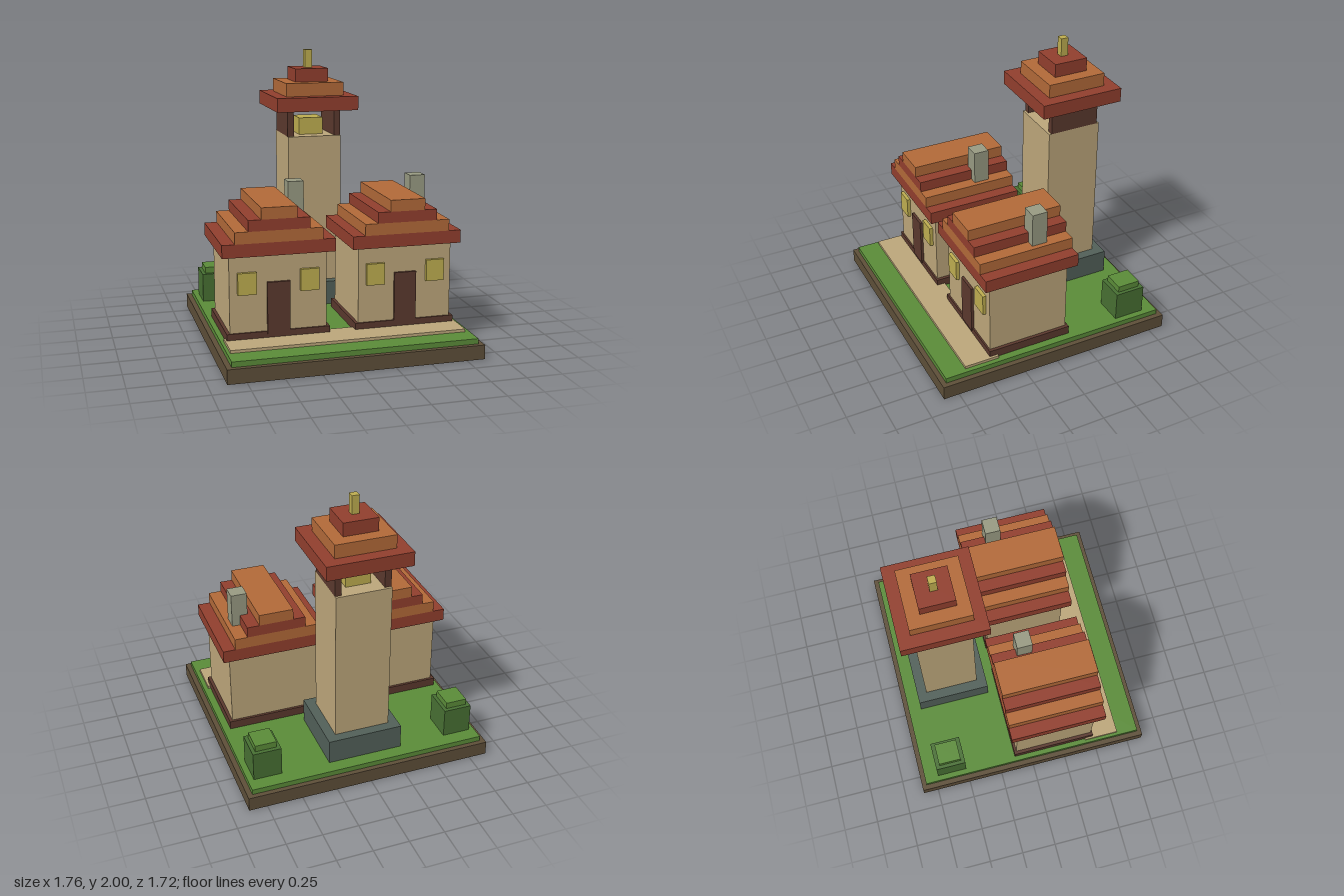
import * as THREE from 'three';

function mat(name, color) {
  const m = new THREE.MeshStandardMaterial({ color });
  m.name = name;
  return m;
}

export function createModel() {
  const earth = mat('earth brown', 0x5e4f39);
  const grass = mat('grass green', 0x5b8c39);
  const leaf = mat('leaf green', 0x487033);
  const plaster = mat('plaster', 0xbda77b);
  const red = mat('red tile', 0x923f2e);
  const orange = mat('orange tile', 0xb36a39);
  const wood = mat('dark wood', 0x5b392e);
  const gold = mat('gold', 0xbfae50);
  const chimneyStone = mat('pale stone', 0x999b83);
  const stone = mat('slate stone', 0x526059);

  // Box given by its limits on each axis
  function box(parent, name, material, [x0, x1], [y0, y1], [z0, z1]) {
    const mesh = new THREE.Mesh(new THREE.BoxGeometry(x1 - x0, y1 - y0, z1 - z0), material);
    mesh.position.set((x0 + x1) / 2, (y0 + y1) / 2, (z0 + z1) / 2);
    mesh.name = name;
    parent.add(mesh);
  }
  const span = (c, half) => [c - half, c + half];
  function group(parent, name, x = 0, z = 0) {
    const g = new THREE.Group();
    g.name = name;
    g.position.set(x, 0, z);
    parent.add(g);
    return g;
  }

  const model = new THREE.Group();
  model.name = 'village';

  // Ground slab, lawn and path
  box(model, 'groundSlab', earth, span(0, 0.878), [0, 0.1], span(0, 0.86));
  box(model, 'lawn', grass, span(0, 0.842), [0.1, 0.137], span(0, 0.826));
  box(model, 'path', plaster, span(-0.005, 0.815), [0.137, 0.157], [0.42, 0.67]);

  // Two matching houses with stepped roofs
  const houseRoof = [
    [0.385, 0.73, 0.82, red], [0.299, 0.82, 0.9, orange],
    [0.209, 0.9, 0.976, red], [0.122, 0.976, 1.055, orange],
  ];
  for (const [name, x] of [['rightHouse', -0.4525], ['leftHouse', 0.4375]]) {
    const house = group(model, name, x);
    box(house, 'plinth', wood, span(0, 0.355), [0.14, 0.2], [-0.13, 0.48]);
    box(house, 'walls', plaster, span(0, 0.332), [0.2, 0.73], [-0.112, 0.468]);
    box(house, 'door', wood, span(0, 0.078), [0.18, 0.54], [0.46, 0.487]);
    for (const side of [-1, 1]) {
      box(house, 'window', gold, span(side * 0.214, 0.064), [0.465, 0.615], [0.46, 0.493]);
    }
    for (const [half, y0, y1, m] of houseRoof) {
      box(house, 'roofStep', m, span(0, half), [y0, y1], [-0.165, 0.52]);
    }
    box(house, 'chimney', chimneyStone, span(0.21, 0.056), [0.89, 1.14], [0.012, 0.122]);
  }

  // Bell tower: base, shaft, open belfry and stepped roof
  const tower = group(model, 'bellTower', -0.003, -0.467);
  box(tower, 'towerBase', stone, span(0, 0.265), [0.137, 0.31], span(0, 0.265));
  box(tower, 'shaft', plaster, span(0, 0.196), [0.31, 1.388], span(0, 0.196));
  for (const side of [-1, 1]) {
    box(tower, 'belfrySide', wood, span(side * 0.173, 0.023), [1.388, 1.58], span(0, 0.178));
  }
  box(tower, 'bell', gold, span(0, 0.088), [1.388, 1.51], span(0, 0.088));
  const towerRoof = [
    [0.298, 1.58, 1.68, red], [0.211, 1.68, 1.775, orange], [0.122, 1.775, 1.87, red],
  ];
  for (const [half, y0, y1, m] of towerRoof) {
    box(tower, 'towerRoofStep', m, span(0, half), [y0, y1], span(0, half));
  }
  box(tower, 'finial', gold, span(0, 0.026), [1.87, 2], span(0, 0.026));

  // Clipped bushes in the back corners
  for (const [name, x] of [['rightBush', -0.704], ['leftBush', 0.7]]) {
    const bush = group(model, name, x, -0.617);
    box(bush, 'bushBody', leaf, span(0, 0.1), [0.137, 0.345], span(0, 0.109));
    box(bush, 'bushTop', grass, span(0, 0.075), [0.345, 0.39], span(0, 0.081));
  }
  return model;
}
